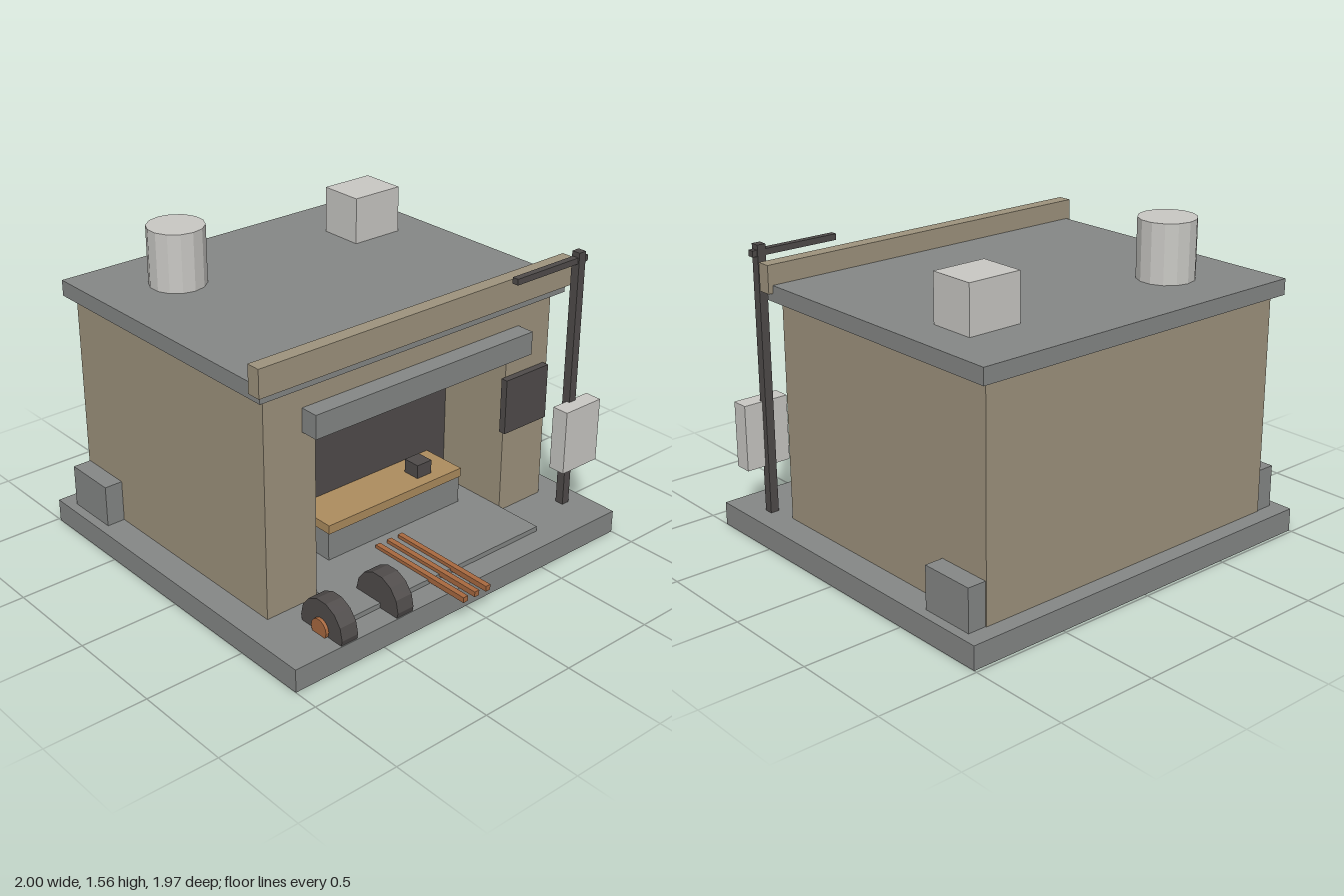
import * as THREE from 'three';

const mat = (name, color) => {
  const m = new THREE.MeshStandardMaterial({ color });
  m.name = name;
  return m;
};

export function createModel() {
  const root = new THREE.Group();
  root.name = 'workshop';

  const concrete = mat('concrete grey', 0x868887);
  const plaster = mat('plaster tan', 0x9f947e);
  const iron = mat('dark iron', 0x504c4b);
  const metal = mat('pale metal', 0xcac9c5);
  const rust = mat('rusty copper', 0xaa6a40);
  const wood = mat('bench wood', 0xae8d5f);

  const add = (name, geometry, material) => {
    const mesh = new THREE.Mesh(geometry, material);
    mesh.name = name;
    root.add(mesh);
    return mesh;
  };
  // Box given by its limits on each axis
  const box = (name, material, [x0, x1], [y0, y1], [z0, z1]) => {
    const mesh = add(name, new THREE.BoxGeometry(x1 - x0, y1 - y0, z1 - z0), material);
    mesh.position.set((x0 + x1) / 2, (y0 + y1) / 2, (z0 + z1) / 2);
    return mesh;
  };
  // Faceted drum lying along x
  const drum = (name, material, x, radius, width) => {
    const geometry = new THREE.CylinderGeometry(radius, radius, width, 14).toNonIndexed();
    geometry.computeVertexNormals();
    geometry.rotateZ(Math.PI / 2);
    add(name, geometry, material).position.set(x, 0.142, 0.735);
  };

  // Ground slab and the thin apron running into the bay
  box('groundSlab', concrete, [-1, 1], [0, 0.115], [-0.985, 0.872]);
  box('apron', concrete, [-0.58, 0.58], [0.115, 0.14], [0.1, 0.757]);

  // Solid rear of the building and a front with an open bay
  box('buildingRear', plaster, [-0.86, 0.86], [0.115, 1.2], [-0.9, 0.1]);
  const front = new THREE.Shape([
    [-0.86, 0.115], [-0.58, 0.115], [-0.58, 0.96], [0.58, 0.96],
    [0.58, 0.115], [0.86, 0.115], [0.86, 1.2], [-0.86, 1.2],
  ].map(([x, y]) => new THREE.Vector2(x, y)));
  add('buildingFront', new THREE.ExtrudeGeometry(front, { depth: 0.405, bevelEnabled: false }), plaster)
    .position.z = 0.1;
  box('bayBackWall', iron, [-0.58, 0.58], [0.14, 0.96], [0.1, 0.109]);

  // Roof, parapet and canopy
  box('roof', concrete, [-0.907, 0.907], [1.2, 1.278], [-0.942, 0.55]);
  box('parapet', plaster, [-0.93, 0.93], [1.24, 1.375], [0.505, 0.575]);
  box('canopy', concrete, [-0.652, 0.65], [0.97, 1.085], [0.5, 0.597]);

  // Rooftop chimney and vent
  const chimney = new THREE.CylinderGeometry(0.138, 0.138, 0.29, 14).toNonIndexed();
  chimney.computeVertexNormals();
  add('chimney', chimney, metal).position.set(-0.512, 1.418, -0.568);
  box('roofVent', metal, [0.44, 0.717], [1.278, 1.51], [-0.635, -0.405]);

  // Blocks at the rear corners
  for (const side of [-1, 1]) {
    box(side > 0 ? 'leftSideBlock' : 'rightSideBlock', concrete,
      side > 0 ? [0.86, 0.953] : [-0.953, -0.86], [0.115, 0.325], [-0.895, -0.617]);
  }

  // Workbench, vice and wall panels
  box('benchBase', concrete, [-0.37, 0.46], [0.14, 0.285], [0.11, 0.34]);
  box('benchTop', wood, [-0.375, 0.462], [0.285, 0.33], [0.11, 0.35]);
  box('vice', iron, [0.23, 0.32], [0.33, 0.4], [0.2, 0.29]);
  box('toolBoard', concrete, [-0.512, -0.05], [0.68, 0.86], [0.109, 0.15]);
  box('wallPanel', iron, [0.555, 0.835], [0.56, 0.84], [0.505, 0.54]);

  // Post with cross arm and hanging sign box
  box('post', iron, [0.86, 0.903], [0.115, 1.44], [0.622, 0.667]);
  box('postArm', iron, [0.465, 0.927], [1.385, 1.415], [0.627, 0.66]);
  box('signBox', metal, [0.767, 1], [0.35, 0.677], [0.65, 0.737]);

  // Two half-sunken wheels, one with a hub
  drum('outerWheel', iron, -0.7, 0.138, 0.09);
  drum('innerWheel', iron, -0.378, 0.138, 0.092);
  drum('wheelHub', rust, -0.702, 0.05, 0.118);

  // Bars lying on the apron
  for (const x of [-0.12, -0.05, 0.02]) {
    box('bar', rust, [x - 0.014, x + 0.014], [0.13, 0.157], [0.4, 0.985]);
  }

  return root;
}
